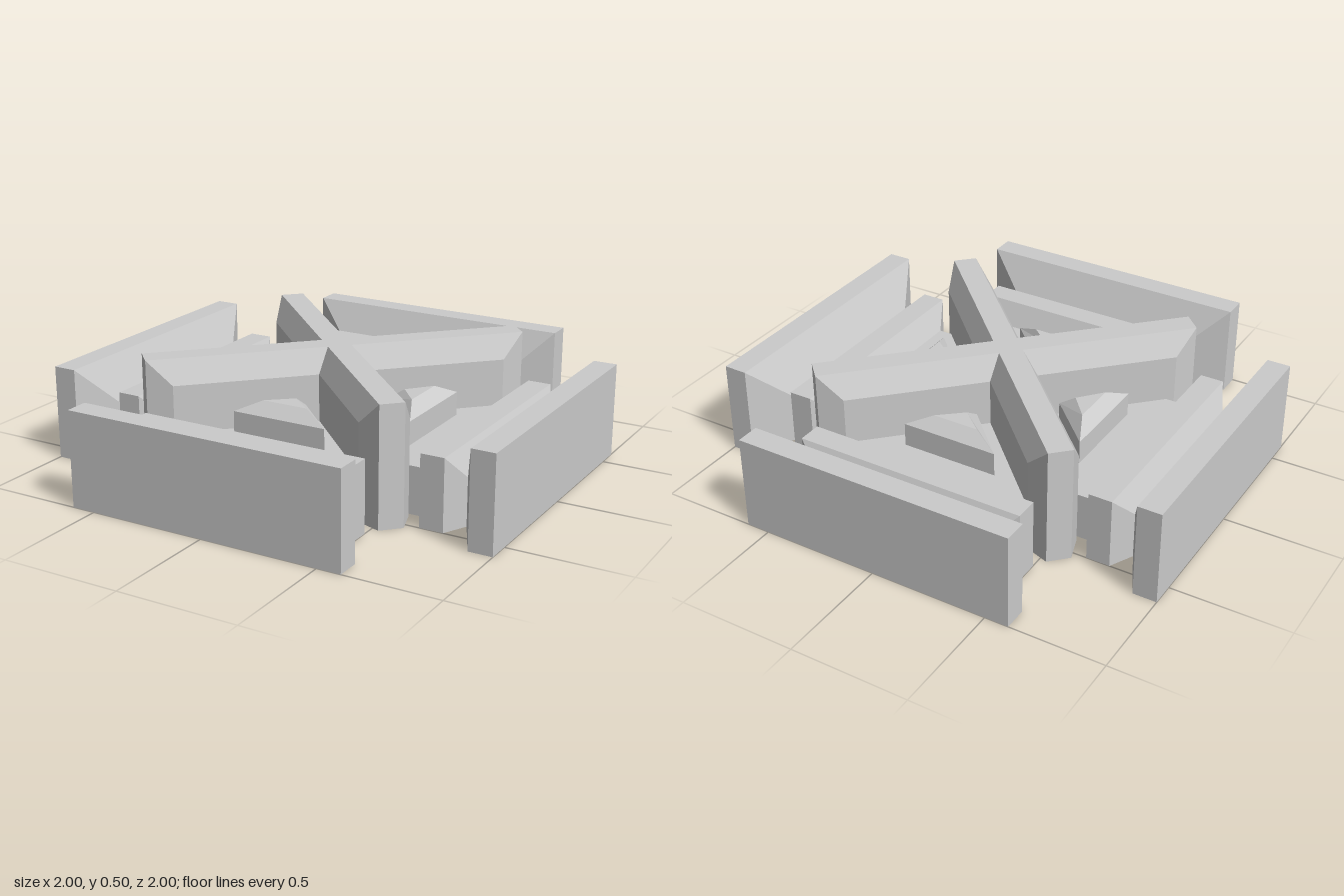
import * as THREE from 'three';

const material = new THREE.MeshStandardMaterial({ color: 0xcccccc, flatShading: true });

// Joins rings of [x, y, z] points (counter-clockwise seen from the far end) and caps the ends.
function loft(rings, capStart = true) {
  const pos = [];
  const tri = (a, b, c) => pos.push(...a, ...b, ...c);
  const n = rings[0].length;
  for (let i = 0; i < rings.length - 1; i++) {
    for (let j = 0; j < n; j++) {
      const k = (j + 1) % n;
      tri(rings[i][j], rings[i][k], rings[i + 1][k]);
      tri(rings[i][j], rings[i + 1][k], rings[i + 1][j]);
    }
  }
  const first = rings[0], last = rings[rings.length - 1];
  for (let j = 1; j < n - 1; j++) {
    tri(last[0], last[j], last[j + 1]);
    if (capStart) tri(first[0], first[j + 1], first[j]);
  }
  const g = new THREE.BufferGeometry();
  g.setAttribute('position', new THREE.Float32BufferAttribute(pos, 3));
  g.computeVertexNormals();
  return g;
}

// Side arm: floor, low rib, groove and flared outer wall, as [z, half width, height].
function sideGeometry() {
  const stations = [
    [0.4, 0.4, 0.2], [0.6, 0.4, 0.2], [0.65, 0.5, 0.3], [0.75, 0.5, 0.3],
    [0.8, 0.4, 0.2], [0.9, 0.6, 0.4], [1, 0.6, 0.4],
  ];
  return loft(stations.map(([z, w, h]) => [[-w, 0, z], [w, 0, z], [w, h, z], [-w, h, z]]));
}

// Diagonal beam: bevelled bar, mitred at the centre, narrowing to a blunt tip.
function beamGeometry() {
  const section = [[0, 0], [0.1, 0], [0.1, 0.4], [0.05, 0.5], [0, 0.5], [-0.05, 0.5], [-0.1, 0.4], [-0.1, 0]];
  const tip = [[0, 0], [0.05, 0], [0.05, 0.5], [0.05, 0.5], [0, 0.5], [-0.05, 0.5], [-0.05, 0.5], [-0.05, 0]];
  return loft([
    section.map(([x, y]) => [x, y, Math.abs(x)]),
    section.map(([x, y]) => [x, y, 0.7]),
    tip.map(([x, y]) => [x, y, 0.8]),
  ], false);
}

// Raised triangle with a bevelled top, as [y, half width, base z, apex z].
function triangleGeometry() {
  const levels = [[0.2, 0.21, 0.455, 0.245], [0.3, 0.21, 0.455, 0.245], [0.35, 0.1, 0.405, 0.32]];
  return loft(levels.map(([y, w, b, a]) => [[-w, y, b], [w, y, b], [0, y, a]]));
}

export function createModel() {
  const model = new THREE.Group();
  const add = (name, geometry, turn = 0) => {
    const mesh = new THREE.Mesh(geometry, material);
    mesh.name = name;
    mesh.rotation.y = turn;
    model.add(mesh);
  };

  add('centreFloor', new THREE.BoxGeometry(0.8, 0.2, 0.8).translate(0, 0.1, 0));

  const side = sideGeometry(), beam = beamGeometry(), triangle = triangleGeometry();
  ['front', 'left', 'back', 'right'].forEach((label, i) => {
    const turn = i * Math.PI / 2;
    add(label + 'Wall', side, turn);
    add(label + 'Triangle', triangle, turn);
    add(label + 'DiagonalBeam', beam, turn + Math.PI / 4);
  });
  return model;
}
